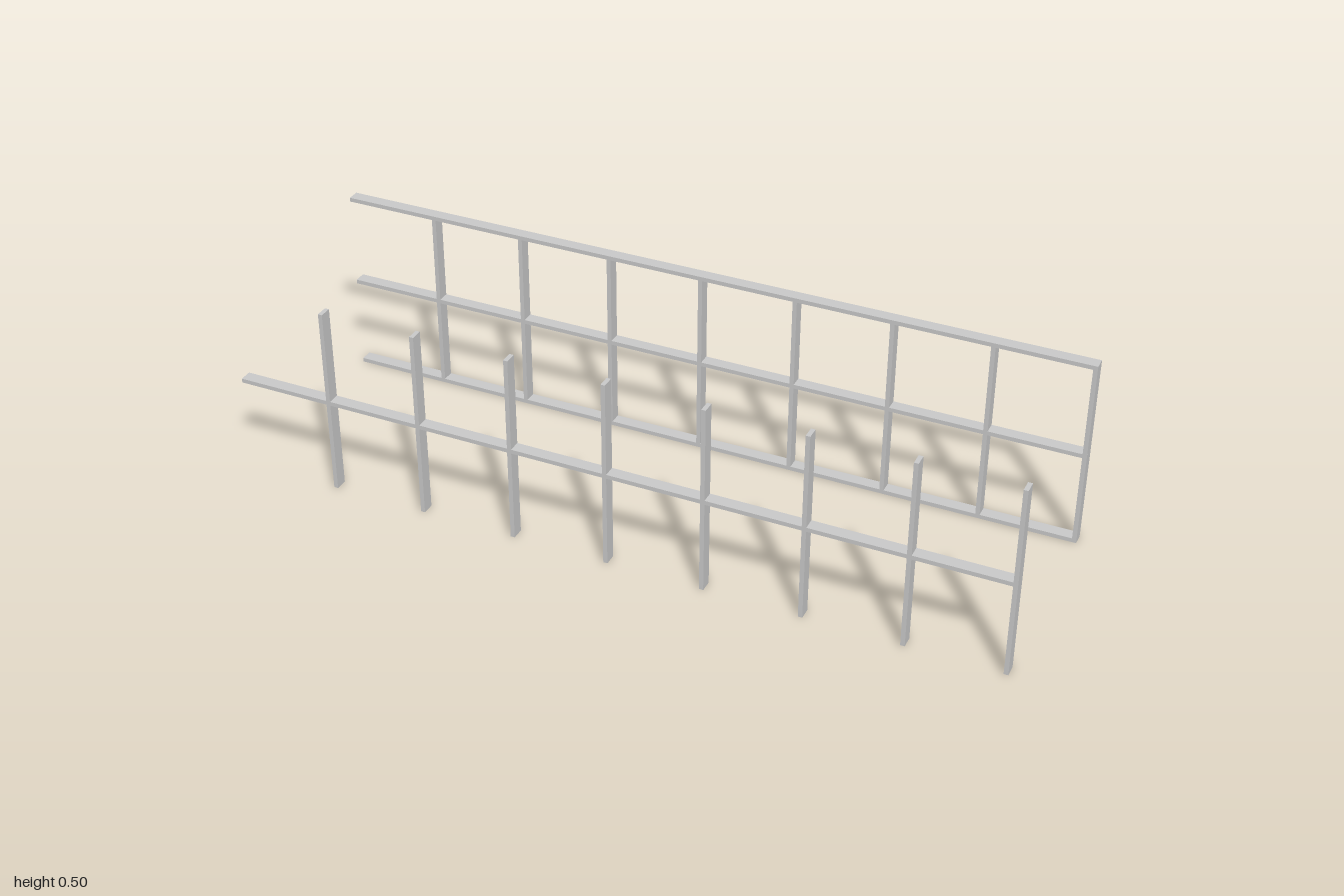
import * as THREE from 'three';

const T = 0.011;      // bar thickness
const DEPTH = 0.032;  // bar depth along z
const H = 0.502;      // overall height
const Z = 0.274;      // distance of each frame from the centre

export function createModel() {
  const model = new THREE.Group();
  const material = new THREE.MeshStandardMaterial({ color: 0xcccccc });

  function bar(parent, name, width, height, x, y) {
    const mesh = new THREE.Mesh(new THREE.BoxGeometry(width, height, DEPTH), material);
    mesh.name = name;
    mesh.position.set(x, y, 0);
    parent.add(mesh);
  }

  // Each frame has full-length rails and eight posts; the -x end stays open
  function frame(name, z, railHeights, postBottom, postTop) {
    const group = new THREE.Group();
    group.name = name;
    group.position.z = z;
    for (const y of railHeights) bar(group, 'rail', 2, T, 0, y);
    for (let i = 1; i <= 8; i++) {
      const x = Math.min(-1 + i * 0.25, 1 - T / 2);
      bar(group, 'post', T, postTop - postBottom, x, (postBottom + postTop) / 2);
    }
    model.add(group);
  }

  // Front: free-standing posts crossed by a single middle rail
  frame('frontFrame', Z, [H / 2], 0, H);
  // Back: posts held between bottom and top rails, with a middle rail
  frame('backFrame', -Z, [T / 2, H / 2, H - T / 2], T, H - T);

  return model;
}
